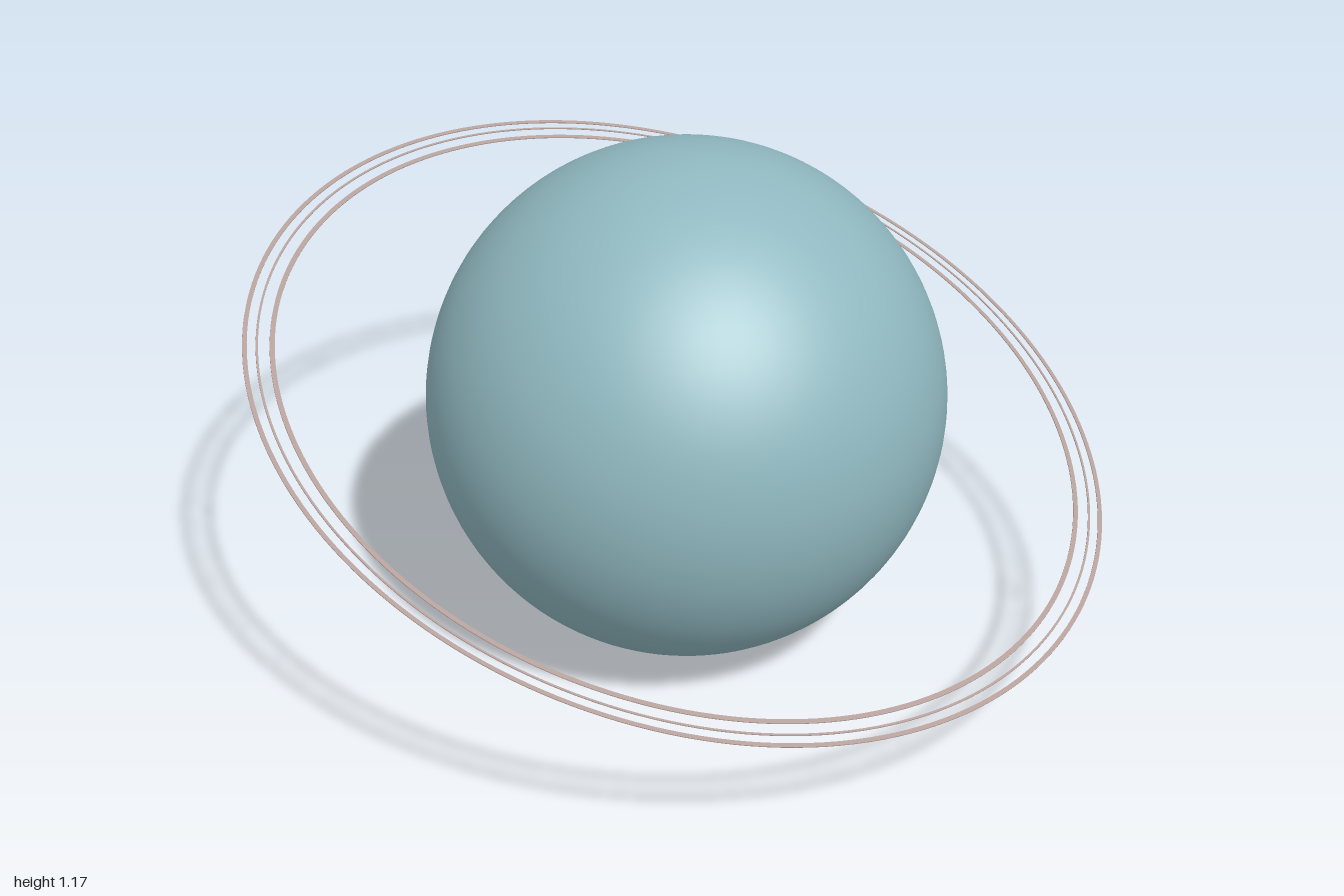
import * as THREE from 'three';

export function createModel() {
  const model = new THREE.Group();
  const radius = 0.587;

  const paleTeal = new THREE.MeshStandardMaterial({ color: 0x90b8c0 });
  paleTeal.name = 'paleTeal';
  const dustyGrey = new THREE.MeshStandardMaterial({ color: 0xb5a09b, flatShading: true });
  dustyGrey.name = 'dustyGrey';

  // Smooth globe
  const globe = new THREE.Mesh(new THREE.SphereGeometry(radius, 96, 64), paleTeal);
  globe.name = 'globe';
  globe.position.y = radius;
  model.add(globe);

  // Three very thin, narrow rings sharing one tilted plane
  const rings = new THREE.Group();
  rings.name = 'rings';
  rings.position.y = radius;
  rings.rotation.z = THREE.MathUtils.degToRad(-20);
  const halfThickness = 0.001;
  const bands = [
    ['innerRing', 0.93, 0.941],
    ['middleRing', 0.966, 0.971],
    ['outerRing', 0.99, 1.0],
  ];
  for (const [name, inner, outer] of bands) {
    const profile = [
      [inner, -halfThickness], [outer, -halfThickness],
      [outer, halfThickness], [inner, halfThickness], [inner, -halfThickness],
    ].map(([x, y]) => new THREE.Vector2(x, y));
    const ring = new THREE.Mesh(new THREE.LatheGeometry(profile, 192), dustyGrey);
    ring.name = name;
    rings.add(ring);
  }
  model.add(rings);

  return model;
}
